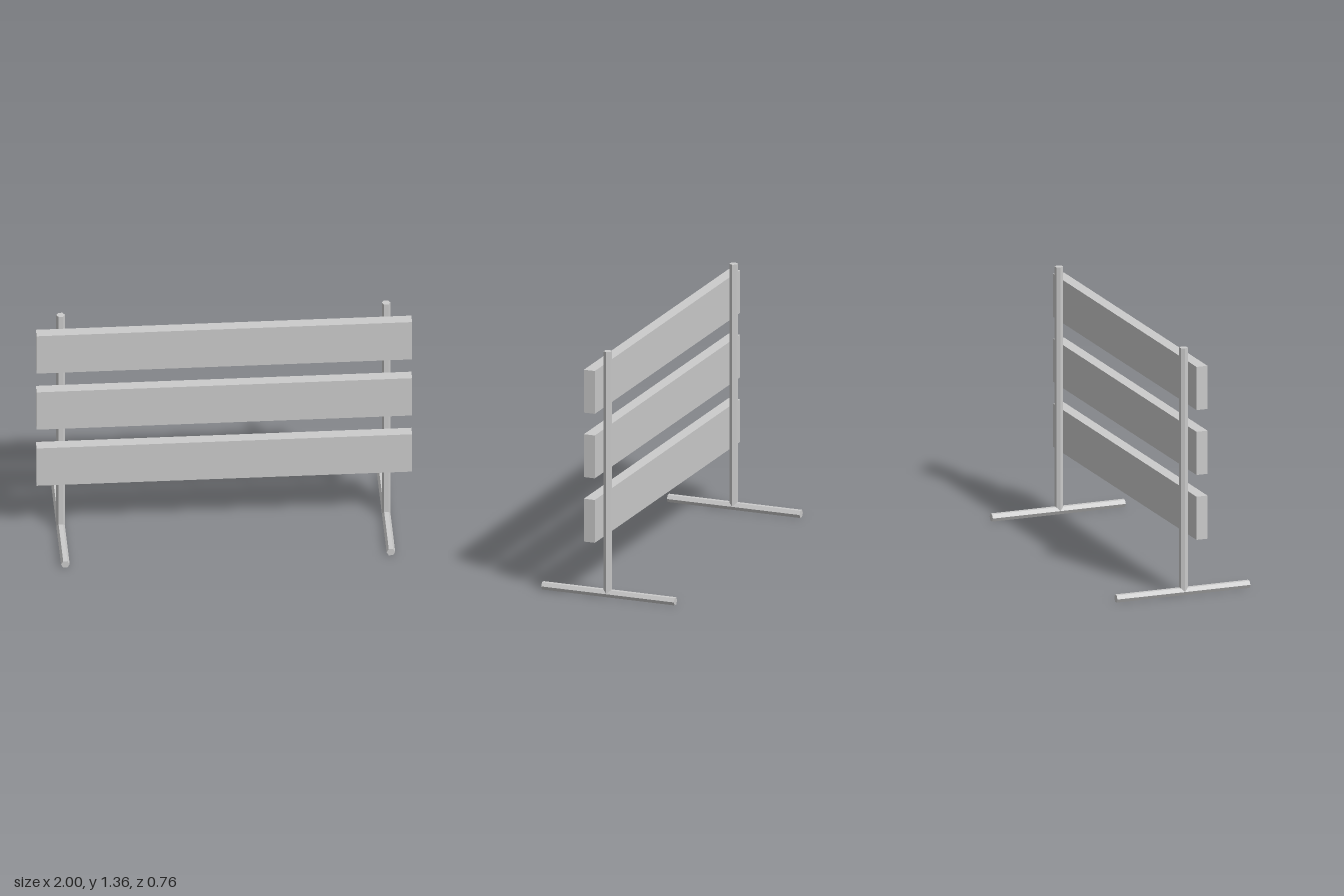
import * as THREE from 'three';

export function createModel() {
  const model = new THREE.Group();
  model.name = 'plankBarrier';
  const material = new THREE.MeshStandardMaterial({ color: 0xcccccc, flatShading: true });

  function add(parent, name, geometry, x, y, z) {
    const mesh = new THREE.Mesh(geometry, material);
    mesh.name = name;
    mesh.position.set(x, y, z);
    parent.add(mesh);
    return mesh;
  }

  // Hexagonal bar standing along y, with corners pointing to +x and -x
  const barRadius = 0.023;
  const footHeight = barRadius * Math.sqrt(3) / 2; // centre of a foot lying on a flat
  const hexBar = (length) =>
    new THREE.CylinderGeometry(barRadius, barRadius, length, 6, 1, false, Math.PI / 2);

  // Two stands, each an upright post on a foot running front to back
  const postTop = 1.364;
  for (const side of [-1, 1]) {
    const stand = new THREE.Group();
    stand.name = side > 0 ? 'leftStand' : 'rightStand';
    stand.position.x = side * 0.867;
    const postLength = postTop - footHeight;
    add(stand, 'post', hexBar(postLength), 0, footHeight + postLength / 2, 0.007);
    add(stand, 'foot', hexBar(0.764).rotateX(Math.PI / 2), 0, footHeight, 0);
    model.add(stand);
  }

  // Three planks fixed to the front of the posts
  const plank = new THREE.BoxGeometry(2, 0.238, 0.063);
  ['lowerPlank', 'middlePlank', 'upperPlank'].forEach((name, i) => {
    add(model, name, plank, 0, 0.453 + i * 0.358, 0.0585);
  });

  return model;
}
